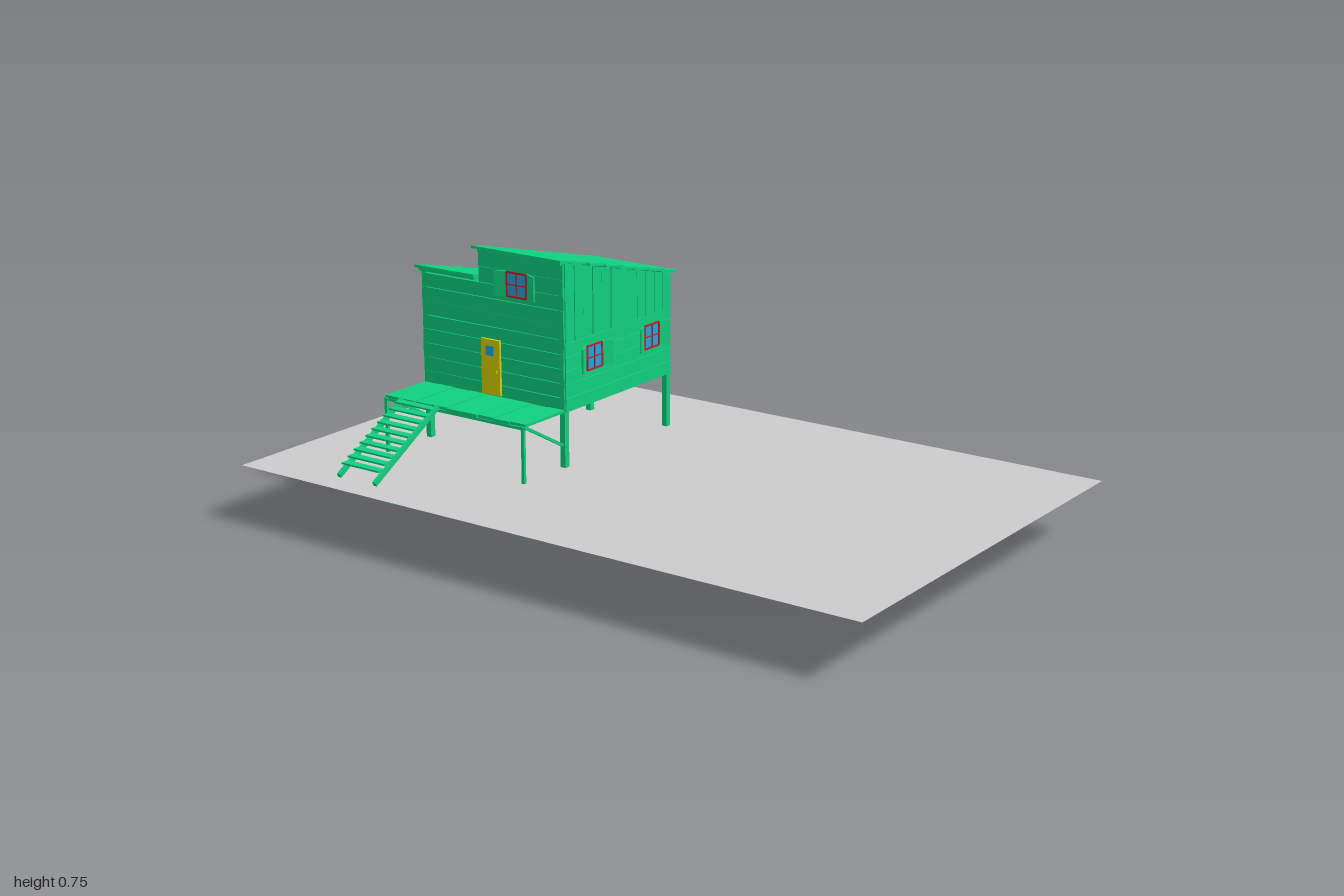
import * as THREE from 'three';

const mat = (color, side = THREE.FrontSide) => new THREE.MeshStandardMaterial({ color, side });

export function createModel() {
  const root = new THREE.Group();
  const green = mat(0x10d080), yellow = mat(0xd8d000), blue = mat(0x22a6dd), red = mat(0xc02030);
  let seed = 7;
  const rnd = () => (seed = (seed * 16807) % 2147483647) / 2147483647;
  const jit = (a) => (rnd() - 0.5) * 2 * a;

  const group = (name, parent = root) => {
    const g = new THREE.Group();
    g.name = name;
    parent.add(g);
    return g;
  };
  const box = (name, parent, w, h, d, x, y, z, m = green) => {
    const b = new THREE.Mesh(new THREE.BoxGeometry(w, h, d), m);
    b.name = name;
    b.position.set(x, y, z);
    parent.add(b);
    return b;
  };
  // Square bar between two points in a plane of constant x
  const bar = (name, parent, x, [y0, z0], [y1, z1], w, h) => {
    const b = box(name, parent, w, h, Math.hypot(y1 - y0, z1 - z0), x, (y0 + y1) / 2, (z0 + z1) / 2);
    b.rotation.x = -Math.atan2(y1 - y0, z1 - z0);
    return b;
  };
  // Board cut to an outline; faces z, or x when side is true
  const T = 0.008;
  const board = (name, parent, pts, at, side) => {
    const shape = new THREE.Shape(pts.map(([u, y]) => new THREE.Vector2(u, y)));
    const b = new THREE.Mesh(new THREE.ExtrudeGeometry(shape, { depth: T, bevelEnabled: false }), green);
    b.name = name;
    if (side) b.rotation.y = -Math.PI / 2;
    b.position.set(side ? at + T / 2 : 0, 0, side ? 0 : at - T / 2);
    parent.add(b);
  };

  // House limits and roof lines
  const L = -0.76, M = -0.55, R = -0.255, F = 0.126, B = -0.366, floorY = 0.32;
  const highY = (z) => 0.707 + 0.245 * z;
  const lowY = (z) => 0.626 + 0.245 * z;

  // Ground sheet, crossed by the posts
  const ground = new THREE.Mesh(new THREE.PlaneGeometry(2, 1.26), mat(0xcccccc, THREE.DoubleSide));
  ground.name = 'ground';
  ground.rotation.x = -Math.PI / 2;
  ground.position.y = 0.16;
  root.add(ground);

  // House posts
  const posts = group('posts');
  const post = (x, z, y0, top) => box('post', posts, 0.017, top - y0, 0.018, x, (top + y0) / 2, z);
  post(L + 0.008, F - 0.006, 0.01, lowY(F));
  post(R - 0.008, F - 0.006, 0.01, highY(F));
  post(L + 0.008, B + 0.006, 0.025, lowY(B));
  post(M + 0.008, B + 0.006, 0.025, highY(B));
  post(R - 0.008, B + 0.006, 0.025, highY(B));
  box('floor', root, R - L, 0.01, F - B, (L + R) / 2, floorY + 0.005, (F + B) / 2);

  // Horizontal cladding, as rows of boards between two heights
  const rows = (parent, u0, u1, y0, y1, n, at, side) => {
    const h = (y1 - y0) / n;
    for (let i = 0; i < n; i++) {
      const a = y0 + i * h, e = y0 + (i + 1) * h - 0.0015;
      board('wallBoard', parent, [[u0, a], [u1, a], [u1, e + jit(0.001)], [u0, e + jit(0.001)]], at + jit(0.0015), side);
    }
  };
  // Upright cladding reaching a sloping roof line
  const uprights = (parent, y0, roof, n, x) => {
    const w = (F - B) / n;
    for (let i = 0; i < n; i++) {
      const a = B + i * w, e = a + w - 0.002;
      board('uprightBoard', parent, [[a, y0], [e, y0], [e, roof(e)], [a, roof(a)]], x + jit(0.002), true);
    }
  };

  const front = group('frontWall');
  rows(front, L, R, floorY, 0.648, 8, F, false);
  rows(front, M, R, 0.648, highY(F), 2, F, false);
  const back = group('backWall');
  rows(back, L, R, floorY, lowY(B), 5, B, false);
  rows(back, M, R, lowY(B), highY(B), 2, B, false);
  const right = group('rightWall');
  rows(right, B, F, floorY, 0.515, 5, R, true);
  uprights(right, 0.515, highY, 12, R);
  const left = group('leftWall');
  rows(left, B, F, floorY, 0.515, 5, L, true);
  uprights(left, 0.515, lowY, 12, L);
  uprights(group('upperDividingWall'), 0.52, highY, 12, M);

  // Roofs: lapped boards running across the slope, with ragged ends
  const roof = (name, x0, x1, line, ragged) => {
    const g = group(name), n = 8, z0 = -0.39, z1 = 0.15, w = (z1 - z0) / n;
    for (let i = 0; i < n; i++) {
      const za = z0 + i * w, zb = Math.min(za + w + 0.012, z1 + 0.004);
      const a = x0 + (ragged < 0 ? jit(0.008) : 0), e = x1 + (ragged > 0 ? jit(0.008) : 0);
      const b = bar('roofBoard', g, (a + e) / 2, [line(za) + 0.009, za], [line(zb) + 0.005, zb], e - a, 0.007);
      b.rotation.z = jit(0.006);
    }
    // Fascia under the front edge
    box('fascia', g, x1 - x0 - 0.02, 0.012, 0.008, (x0 + x1) / 2, line(0.136), 0.136);
  };
  roof('highRoof', -0.555, -0.245, highY, 1);
  roof('lowRoof', -0.772, -0.55, lowY, -1);

  // Windows with red bars and half-open shutters
  const windowAt = (name, x, y, z, turn) => {
    const g = group(name);
    g.position.set(x, y, z);
    g.rotation.y = turn;
    const s = 0.068;
    box('pane', g, s, s, 0.006, 0, 0, 0.004, blue);
    for (const k of [-1, 0, 1]) {
      const t = k ? 0.005 : 0.003;
      box('windowBar', g, t, s, 0.004, k * s / 2, 0, 0.008, red);
      box('windowBar', g, s, t, 0.004, 0, k * s / 2, 0.008, red);
    }
    for (const k of [-1, 1]) {
      const hinge = group('shutterHinge', g);
      hinge.position.set(k * 0.037, 0, 0.005);
      hinge.rotation.y = -k * 0.42;
      box('shutter', hinge, 0.037, 0.07, 0.005, k * 0.0185, 0, 0);
    }
  };
  windowAt('frontWindow', -0.41, 0.658, F + 0.003, 0);
  for (const z of [0.005, -0.265]) {
    windowAt('rightWindow', R + 0.003, 0.455, z, Math.PI / 2);
    windowAt('leftWindow', L - 0.003, 0.455, z, -Math.PI / 2);
  }

  // Door with a small pane
  const door = group('door');
  box('doorPanel', door, 0.066, 0.16, 0.01, -0.508, 0.41, F + 0.007, yellow);
  box('doorPane', door, 0.028, 0.028, 0.004, -0.508, 0.458, F + 0.013, blue);
  box('doorHandle', door, 0.005, 0.008, 0.006, -0.485, 0.4, F + 0.014, yellow);

  // Porch deck, thin posts and braces
  const porch = group('porch'), n = 9, pw = (R - L) / n;
  for (let i = 0; i < n; i++) {
    const len = 0.17 + jit(0.006);
    box('deckBoard', porch, pw - 0.002, 0.008, len, L + (i + 0.5) * pw, 0.322 + jit(0.001), 0.13 + len / 2);
  }
  for (const x of [L + 0.006, R - 0.008]) {
    box('porchPost', porch, 0.009, 0.315, 0.009, x, 0.1625, 0.3);
    bar('porchBrace', porch, x, [0.225, 0.13], [0.318, 0.295], 0.008, 0.008);
  }
  box('deckBeam', porch, R - L, 0.008, 0.009, (L + R) / 2, 0.314, 0.296);

  // Stairs
  const stairs = group('stairs');
  for (const x of [-0.692, -0.563])
    bar('stringer', stairs, x, [0.172, 0.567], [0.326, 0.303], 0.011, 0.013);
  for (let i = 0; i < 10; i++) {
    const k = i / 9;
    box('tread', stairs, 0.134, 0.005, 0.026, -0.6275, 0.203 + k * 0.12, 0.54 - k * 0.22);
  }
  return root;
}
